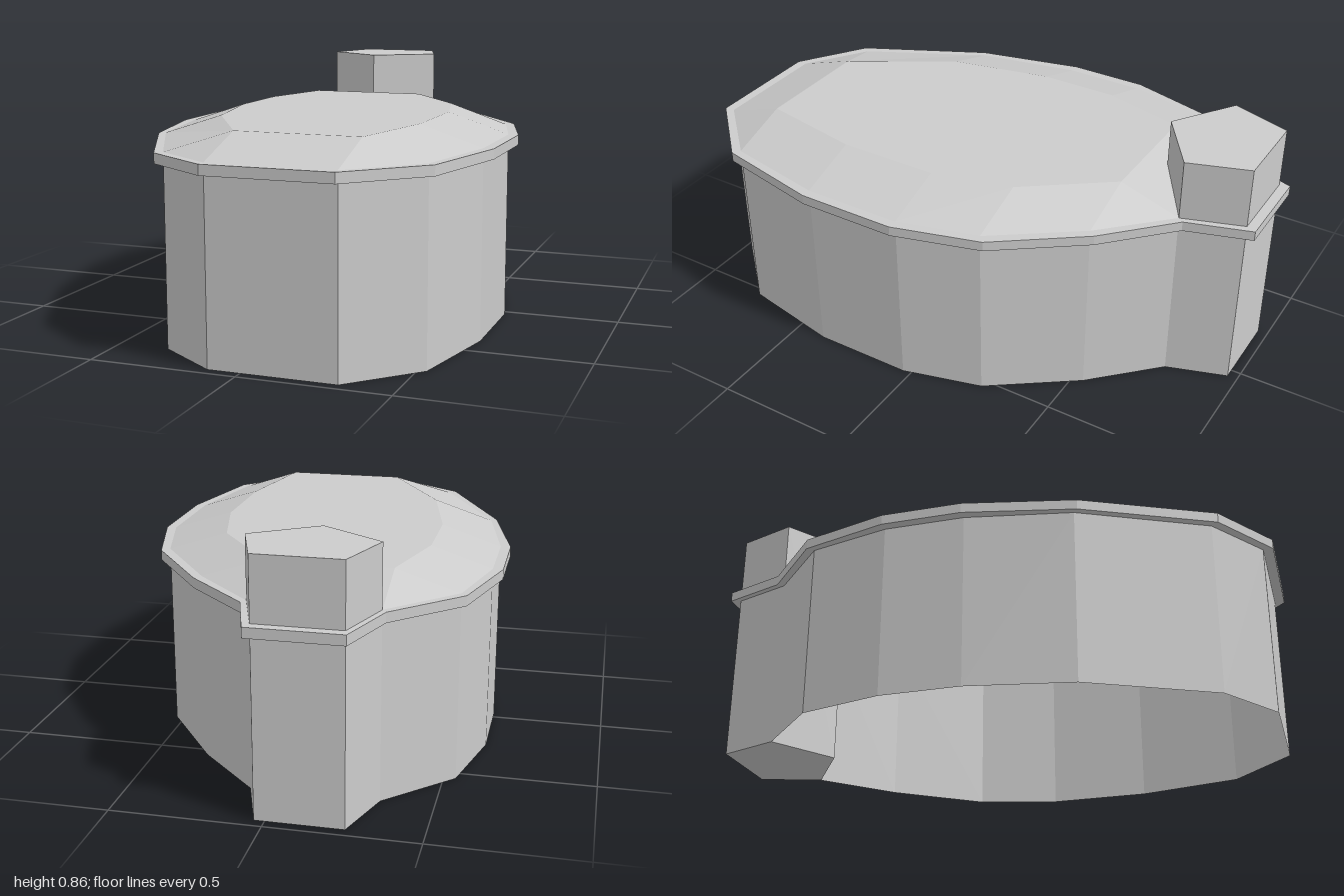
import * as THREE from 'three';

const EAVE_LOW = 0.61, EAVE_TOP = 0.645, ROOF_TOP = 0.715, CHIMNEY_TOP = 0.86;

// Wall outline [x, z], running round the house from one chimney corner to the other
const wall = [
  [0.105, -0.755], [0.32, -0.54], [0.53, -0.25], [0.605, 0.03], [0.605, 0.385],
  [0.53, 0.75], [0.32, 0.965], [-0.11, 0.965], [-0.325, 0.815], [-0.54, 0.39],
  [-0.61, 0.03], [-0.61, -0.25], [-0.54, -0.54], [-0.325, -0.755],
];
// Flat roof corner belonging to each wall corner
const ridge = [
  [0.105, -0.54], [0.105, -0.54], [0.32, -0.25], [0.39, 0.03], [0.39, 0.385],
  [0.32, 0.75], [0.32, 0.75], [-0.11, 0.75], [-0.11, 0.75], [-0.325, 0.39],
  [-0.4, 0.03], [-0.4, -0.25], [-0.325, -0.54], [-0.325, -0.54],
];
const chimneyBack = [[-0.255, -0.965], [0.035, -0.965]];
// Outer edge of the overhanging eave
const eaveEdge = [
  [0.12, -0.775], [0.34, -0.565], [0.555, -0.275], [0.64, 0.03], [0.64, 0.385],
  [0.555, 0.77], [0.325, 1], [-0.11, 1], [-0.345, 0.84], [-0.56, 0.405],
  [-0.645, 0.03], [-0.645, -0.25], [-0.56, -0.56], [-0.34, -0.775],
  [-0.265, -1], [0.05, -1],
];

const material = new THREE.MeshStandardMaterial({
  color: 0xcccccc, flatShading: true, side: THREE.DoubleSide,
});

function addMesh(group, name, geometry) {
  const mesh = new THREE.Mesh(geometry, material);
  mesh.name = name;
  group.add(mesh);
}

const toVectors = (points) => points.map(([x, z]) => new THREE.Vector2(x, -z));

// Upright prism over a ground outline, with an optional hole
function prism(outline, y0, y1, hole) {
  const shape = new THREE.Shape(toVectors(outline));
  if (hole) shape.holes.push(new THREE.Path(toVectors(hole)));
  return new THREE.ExtrudeGeometry(shape, { depth: y1 - y0, bevelEnabled: false })
    .rotateX(-Math.PI / 2).translate(0, y0, 0);
}

// Flat-shaded geometry from triangles, leaving out collapsed ones
function fromTriangles(triangles) {
  const solid = triangles.filter(([a, b, c]) =>
    new THREE.Triangle(a, b, c).getArea() > 1e-6);
  const geometry = new THREE.BufferGeometry().setFromPoints(solid.flat());
  geometry.computeVertexNormals();
  return geometry;
}

const at = ([x, z], y) => new THREE.Vector3(x, y, z);

export function createModel() {
  const house = new THREE.Group();
  house.name = 'house';

  // Open-bottomed walls, ending at the chimney
  const wallFaces = [];
  for (let i = 0; i < wall.length - 1; i++) {
    const a = wall[i], b = wall[i + 1];
    wallFaces.push([at(b, 0), at(a, 0), at(a, EAVE_LOW)],
      [at(b, 0), at(a, EAVE_LOW), at(b, EAVE_LOW)]);
  }
  addMesh(house, 'walls', fromTriangles(wallFaces));

  // Eave ring round walls and chimney
  addMesh(house, 'eave', prism(eaveEdge, EAVE_LOW, EAVE_TOP, [...wall, ...chimneyBack]));

  // Sloping roof faces and the flat top
  const slopes = [], flat = [];
  const centre = new THREE.Vector3(0, ROOF_TOP, 0.1);
  wall.forEach((a, i) => {
    const j = (i + 1) % wall.length;
    const a1 = at(ridge[i], ROOF_TOP), b1 = at(ridge[j], ROOF_TOP);
    const a0 = at(a, EAVE_TOP), b0 = at(wall[j], EAVE_TOP);
    slopes.push([a1, b1, b0], [a1, b0, a0]);
    flat.push([centre, b1, a1]);
  });
  addMesh(house, 'roofSlopes', fromTriangles(slopes));
  addMesh(house, 'roofTop', fromTriangles(flat));

  // Five-sided chimney standing on the ground
  addMesh(house, 'chimney',
    prism([...chimneyBack, wall[0], [-0.11, -0.61], wall[wall.length - 1]], 0, CHIMNEY_TOP));

  return house;
}
